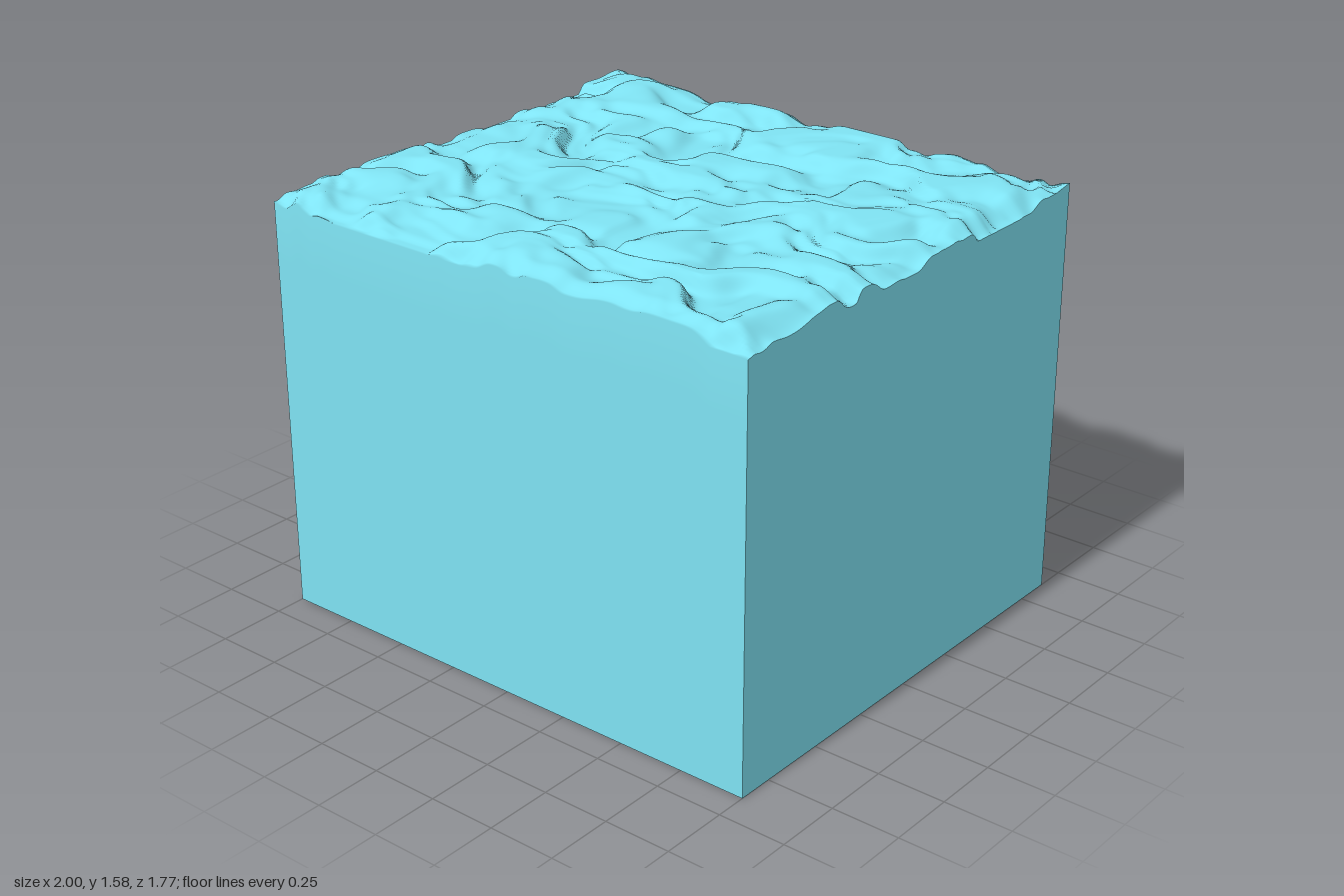
import * as THREE from 'three';

const HALF_X = 1, HALF_Z = 0.885, CREST = 1.575, TROUGH = 1.505;

// Repeatable lattice values and smooth noise between them, 0..1
function lattice(i, j) {
  const s = Math.sin(i * 127.1 + j * 311.7) * 43758.5453;
  return s - Math.floor(s);
}
function noise(x, y) {
  const i = Math.floor(x), j = Math.floor(y);
  const fade = t => t * t * t * (t * (t * 6 - 15) + 10);
  const u = fade(x - i), v = fade(y - j);
  const lerp = THREE.MathUtils.lerp;
  return lerp(lerp(lattice(i, j), lattice(i + 1, j), u),
    lerp(lattice(i, j + 1), lattice(i + 1, j + 1), u), v);
}

// Height of the rippled surface: warped noise, with flattened crests and softly lowered rims
function waveHeight(x, z) {
  const wx = x + 0.16 * (noise(x * 4 + 7, z * 4 + 3) - 0.5);
  const wz = z + 0.22 * (noise(x * 4 + 31, z * 4 + 17) - 0.5);
  const n = 0.68 * noise(wx * 5.5 + 50, wz * 9 + 50) + 0.32 * noise(wx * 11 + 90, wz * 15 + 70);
  const wave = THREE.MathUtils.smoothstep(n, 0.08, 0.82);
  const rim = Math.min(HALF_X - Math.abs(x), HALF_Z - Math.abs(z));
  const drop = 0.028 * (1 - THREE.MathUtils.smoothstep(rim, 0, 0.08));
  return Math.max(TROUGH, THREE.MathUtils.lerp(TROUGH + 0.012, CREST, wave) - drop);
}

// Grid of points from a rule; u and v run 0..cols and 0..rows
function gridGeometry(cols, rows, point) {
  const geometry = new THREE.PlaneGeometry(1, 1, cols, rows);
  const position = geometry.attributes.position;
  for (let r = 0; r <= rows; r++) {
    for (let c = 0; c <= cols; c++) position.setXYZ(r * (cols + 1) + c, ...point(c, r));
  }
  geometry.computeVertexNormals();
  return geometry;
}

export function createModel() {
  const group = new THREE.Group();
  const material = new THREE.MeshStandardMaterial({ color: 0x7fe3f3 });
  const add = (geometry, name) => {
    const mesh = new THREE.Mesh(geometry, material);
    mesh.name = name;
    group.add(mesh);
  };

  // Rippled top, continuing smoothly down the back and front walls
  const cols = 180, depth = 160, wall = 8;
  add(gridGeometry(cols, depth + 2 * wall, (c, r) => {
    const x = -HALF_X + 2 * HALF_X * c / cols;
    const t = THREE.MathUtils.clamp((r - wall) / depth, 0, 1);
    const z = -HALF_Z + 2 * HALF_Z * t;
    const below = Math.max(wall - r, r - wall - depth, 0) / wall;
    return [x, waveHeight(x, z) * (1 - below), z];
  }), 'waterSurfaceAndFrontBackWalls');

  // Flat end walls following the wave outline
  for (const side of [1, -1]) {
    add(gridGeometry(depth, 1, (c, r) => {
      const z = side * (HALF_Z - 2 * HALF_Z * c / depth);
      return [side * HALF_X, r === 0 ? waveHeight(side * HALF_X, z) : 0, z];
    }), side > 0 ? 'leftWall' : 'rightWall');
  }

  // Flat underside
  add(new THREE.PlaneGeometry(2 * HALF_X, 2 * HALF_Z).rotateX(Math.PI / 2), 'underside');
  return group;
}
